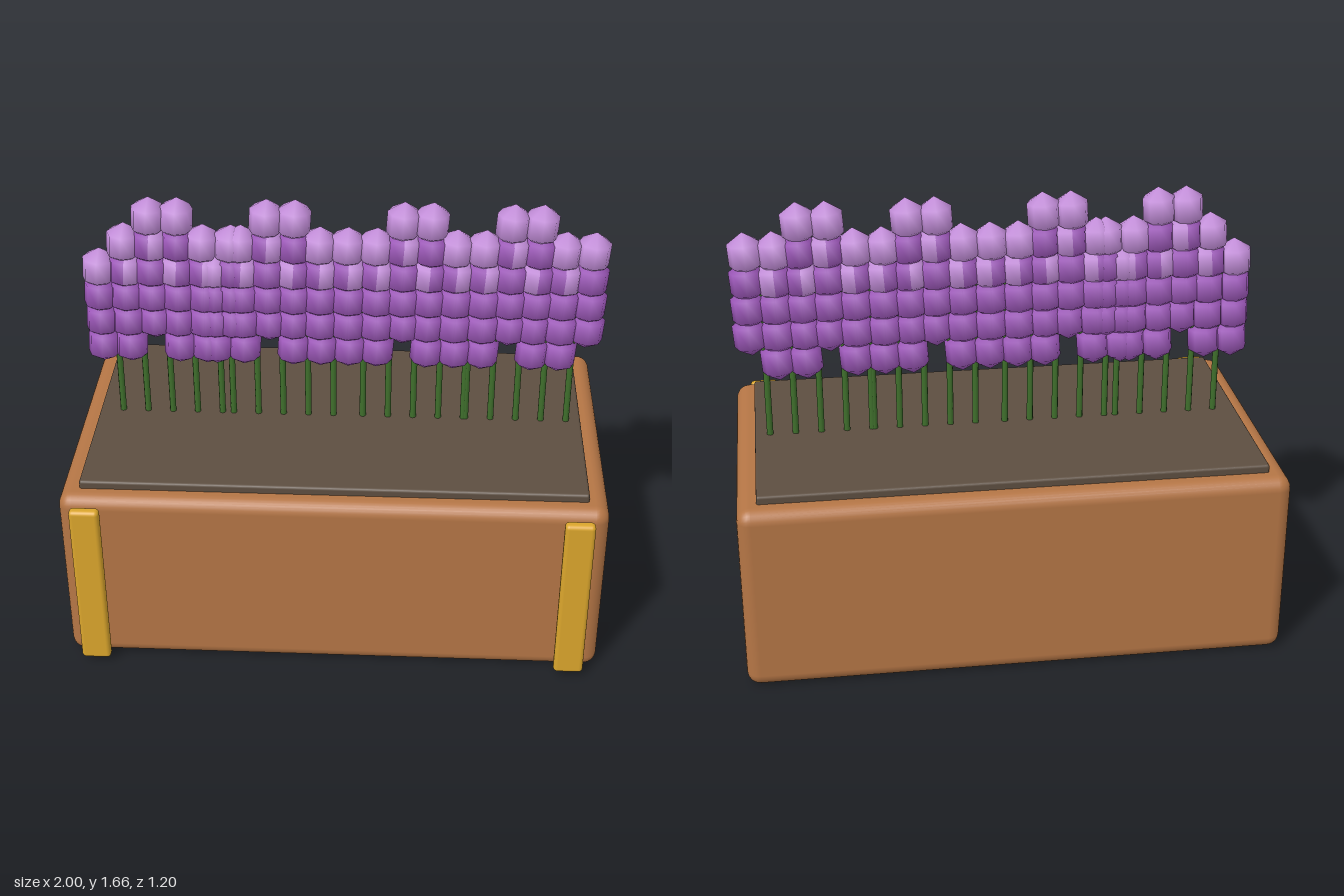
import * as THREE from 'three';
import { RoundedBoxGeometry } from 'three/addons/geometries/RoundedBoxGeometry.js';

const mat = (name, color) => {
  const m = new THREE.MeshStandardMaterial({ color });
  m.name = name;
  return m;
};

export function createModel() {
  const wood = mat('wood', 0xb47545);
  const brass = mat('brass', 0xdaa52c);
  const soilBrown = mat('soil brown', 0x5d4e40);
  const green = mat('stem green', 0x3f6f2c);
  const purple = mat('purple', 0x9f58bc);
  const lilac = mat('lilac', 0xc790de);

  const model = new THREE.Group();
  model.name = 'flowerPlanter';

  const add = (parent, name, geometry, material, x, y, z) => {
    const mesh = new THREE.Mesh(geometry, material);
    mesh.name = name;
    mesh.position.set(x, y, z);
    parent.add(mesh);
    return mesh;
  };

  // Rounded container, soil slab and front straps
  add(model, 'planterBox', new RoundedBoxGeometry(2, 0.72, 1.14, 3, 0.05), wood, 0, 0.36, -0.027);
  add(model, 'soil', new RoundedBoxGeometry(1.855, 0.06, 1.0, 2, 0.01), soilBrown, 0, 0.72, -0.027);
  const strap = new RoundedBoxGeometry(0.11, 0.68, 0.042, 3, 0.016);
  add(model, 'rightStrap', strap, brass, -0.895, 0.36, 0.578);
  add(model, 'leftStrap', strap, brass, 0.89, 0.36, 0.578);

  // Pointed floret: a coarse sphere stretched upwards
  const floret = new THREE.SphereGeometry(0.07, 8, 3);
  floret.scale(1, 1.18, 1);
  const stem = new THREE.CylinderGeometry(0.012, 0.012, 0.62, 8);

  // One flower: a stem with four paired florets, the top pair lighter
  const makeFlower = (x, lift) => {
    const flower = new THREE.Group();
    flower.name = 'flower';
    flower.position.set(x, lift, -0.025);
    add(flower, 'stem', stem, green, 0, 1.03 - lift, 0);
    for (let row = 0; row < 4; row++) {
      for (const side of [-1, 1]) {
        const f = add(flower, 'floret', floret, row === 3 ? lilac : purple,
          side * 0.052, 1.053 + row * 0.105, 0);
        f.rotation.z = -0.07;
      }
    }
    return flower;
  };

  // Four clumps of five flowers with stepped heights
  const lifts = [0, 1, 2, 0, 1];
  for (const start of [-0.838, -0.409, 0.09, 0.484]) {
    const clump = new THREE.Group();
    clump.name = 'flowerClump';
    lifts.forEach((step, i) => clump.add(makeFlower(start + i * 0.0965, step * 0.105)));
    model.add(clump);
  }
  return model;
}
